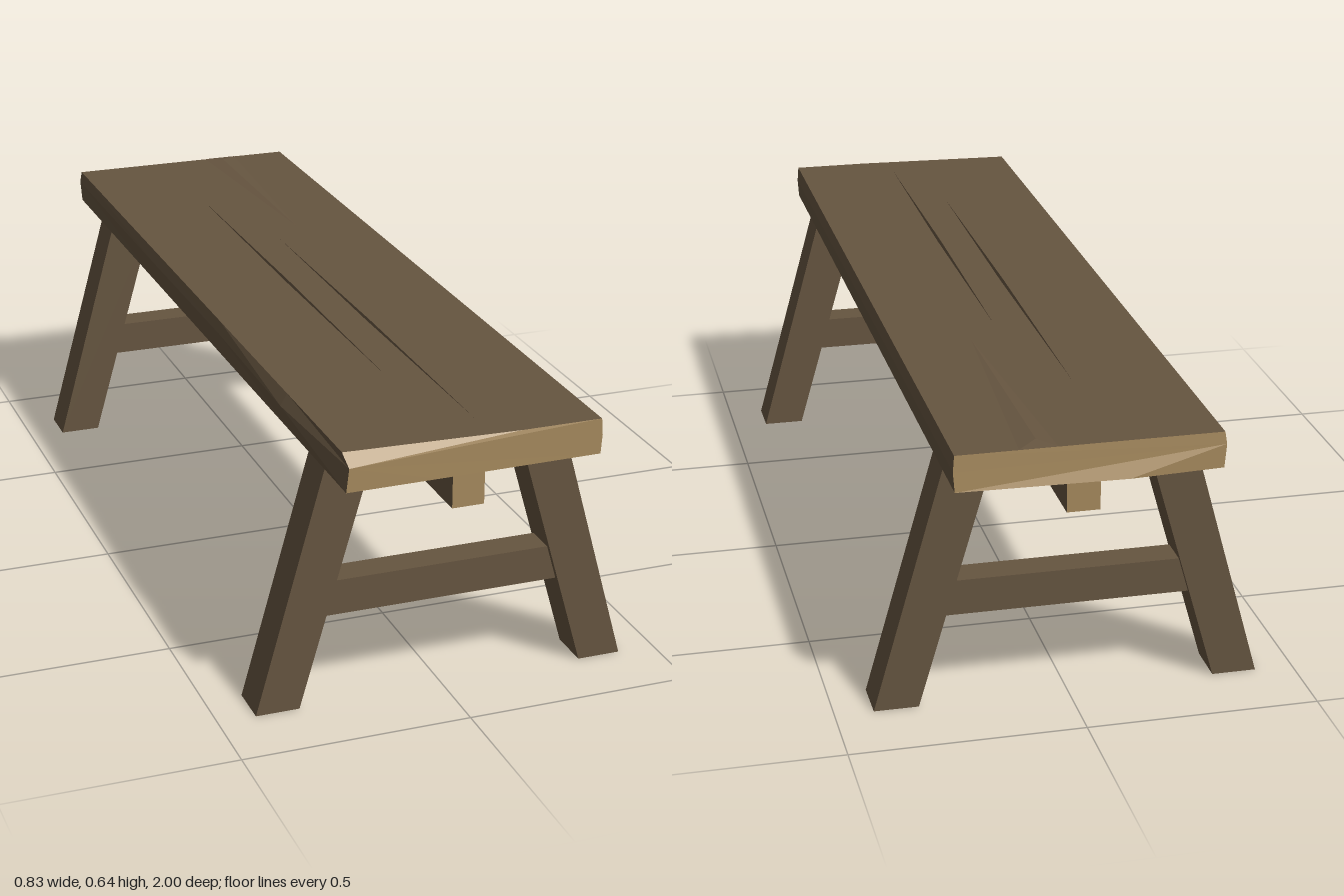
import * as THREE from 'three';

const wood = new THREE.MeshStandardMaterial({ color: 0x665540 });
wood.name = 'dark wood';
const endGrain = new THREE.MeshStandardMaterial({ color: 0xa5895d });
endGrain.name = 'light end grain';

const BOTTOM = 0.553, TOP = 0.63;

function addMesh(parent, name, geometry, material) {
  const mesh = new THREE.Mesh(geometry, material);
  mesh.name = name;
  parent.add(mesh);
  return mesh;
}

// Flat-shaded geometry from a list of triangles of [x, y, z] corners
function faceted(triangles) {
  const g = new THREE.BufferGeometry();
  g.setAttribute('position', new THREE.Float32BufferAttribute(triangles.flat(2), 3));
  g.computeVertexNormals();
  return g;
}

// Plank outline at one station, counter-clockwise from the bottom left.
// zs gives z for each corner, or one z for all.
function ring(zs, bulge) {
  const outline = [
    [-0.278, BOTTOM], [-0.08, BOTTOM], [0.275, BOTTOM], [0.278, 0.595],
    [0.275, TOP], [0.1, TOP], [-0.278, TOP], [bulge, 0.604],
  ];
  return outline.map(([x, y], i) => [x, y, Array.isArray(zs) ? zs[i] : zs]);
}

function buildSeat() {
  const seat = new THREE.Group();
  seat.name = 'seat';
  const rings = [
    ring([-0.987, -1, -0.99, -0.987, -0.985, -0.985, -0.985, -0.987], -0.282),
    ring(-0.3, -0.285),
    ring(0.2, -0.284),
    ring(0.65, -0.293),
    ring([0.997, 0.995, 0.99, 0.99, 0.99, 0.99, 0.972, 0.997], -0.272),
  ];
  const back = rings[0], front = rings[rings.length - 1];

  // Sides and underside, leaving the top open
  const sides = [];
  for (let k = 0; k < rings.length - 1; k++) {
    const a = rings[k], b = rings[k + 1];
    for (let i = 0; i < 8; i++) {
      if (i === 4 || i === 5) continue;
      const j = (i + 1) % 8;
      sides.push([a[i], a[j], b[j]], [a[i], b[j], b[i]]);
    }
  }
  addMesh(seat, 'seatSides', faceted(sides), wood);

  // Rough sawn ends
  const ends = [];
  for (let i = 0; i < 6; i++) {
    ends.push([front[7], front[i], front[i + 1]]);
    ends.push([back[7], back[i + 1], back[i]]);
  }
  addMesh(seat, 'seatEnds', faceted(ends), endGrain);

  // Top face, cut open along two long cracks
  const cracks = [
    { x: -0.05, z0: -0.65, z1: 0.64, w: 0.004 },
    { x: 0.034, z0: -0.29, z1: 0.9, w: 0.004 },
  ];
  const corners = [front[6], front[5], front[4], back[4], back[5], back[6]];
  const shape = new THREE.Shape(corners.map(([x, , z]) => new THREE.Vector2(x, -z)));
  const grooves = [];
  for (const { x, z0, z1, w } of cracks) {
    const mid = (z0 + z1) / 2;
    const rim = [[x, TOP, z0], [x - w, TOP, mid], [x, TOP, z1], [x + w, TOP, mid]];
    const floor = [x, TOP - 0.015, mid];
    shape.holes.push(new THREE.Path(rim.map(([px, , pz]) => new THREE.Vector2(px, -pz))));
    rim.forEach((p, i) => grooves.push([p, rim[(i + 1) % 4], floor]));
  }
  const top = new THREE.ShapeGeometry(shape).rotateX(-Math.PI / 2).translate(0, TOP, 0);
  addMesh(seat, 'seatTop', top, wood);
  addMesh(seat, 'cracks', faceted(grooves), wood);

  // Lifted splinter at the back edge
  const tip = [0.105, TOP + 0.0005, -0.37], peak = [0.103, 0.636, -0.95];
  const l = [0.065, TOP + 0.0005, -0.985], r = [0.145, TOP + 0.0005, -0.985];
  addMesh(seat, 'splinter', faceted([[tip, r, peak], [r, l, peak], [l, tip, peak]]), wood);
  return seat;
}

// Splayed leg: a slanted outline extruded along z
function buildLeg(side, z) {
  const points = [[0.321, 0], [0.417, 0], [0.263, BOTTOM], [0.162, BOTTOM]];
  const shape = new THREE.Shape(points.map(([x, y]) => new THREE.Vector2(side * x, y)));
  return new THREE.ExtrudeGeometry(shape, { depth: 0.095, bevelEnabled: false })
    .translate(0, 0, z - 0.0475);
}

export function createModel() {
  const bench = new THREE.Group();
  bench.name = 'bench';
  bench.add(buildSeat());

  // Long beam under the seat, with pale ends
  const beam = addMesh(bench, 'beam', new THREE.BoxGeometry(0.07, 0.088, 1.9),
    [wood, wood, wood, wood, endGrain, endGrain]);
  beam.position.set(0, 0.509, 0.008);

  // Two trestles, each with a pair of legs and a stretcher
  for (const [end, z] of [['front', 0.797], ['back', -0.79]]) {
    const trestle = new THREE.Group();
    trestle.name = end + 'Trestle';
    addMesh(trestle, end + 'LeftLeg', buildLeg(1, z), wood);
    addMesh(trestle, end + 'RightLeg', buildLeg(-1, z), wood);
    const stretcher = addMesh(trestle, end + 'Stretcher', new THREE.BoxGeometry(0.53, 0.078, 0.07), wood);
    stretcher.position.set(0, 0.239, z);
    bench.add(trestle);
  }
  return bench;
}
